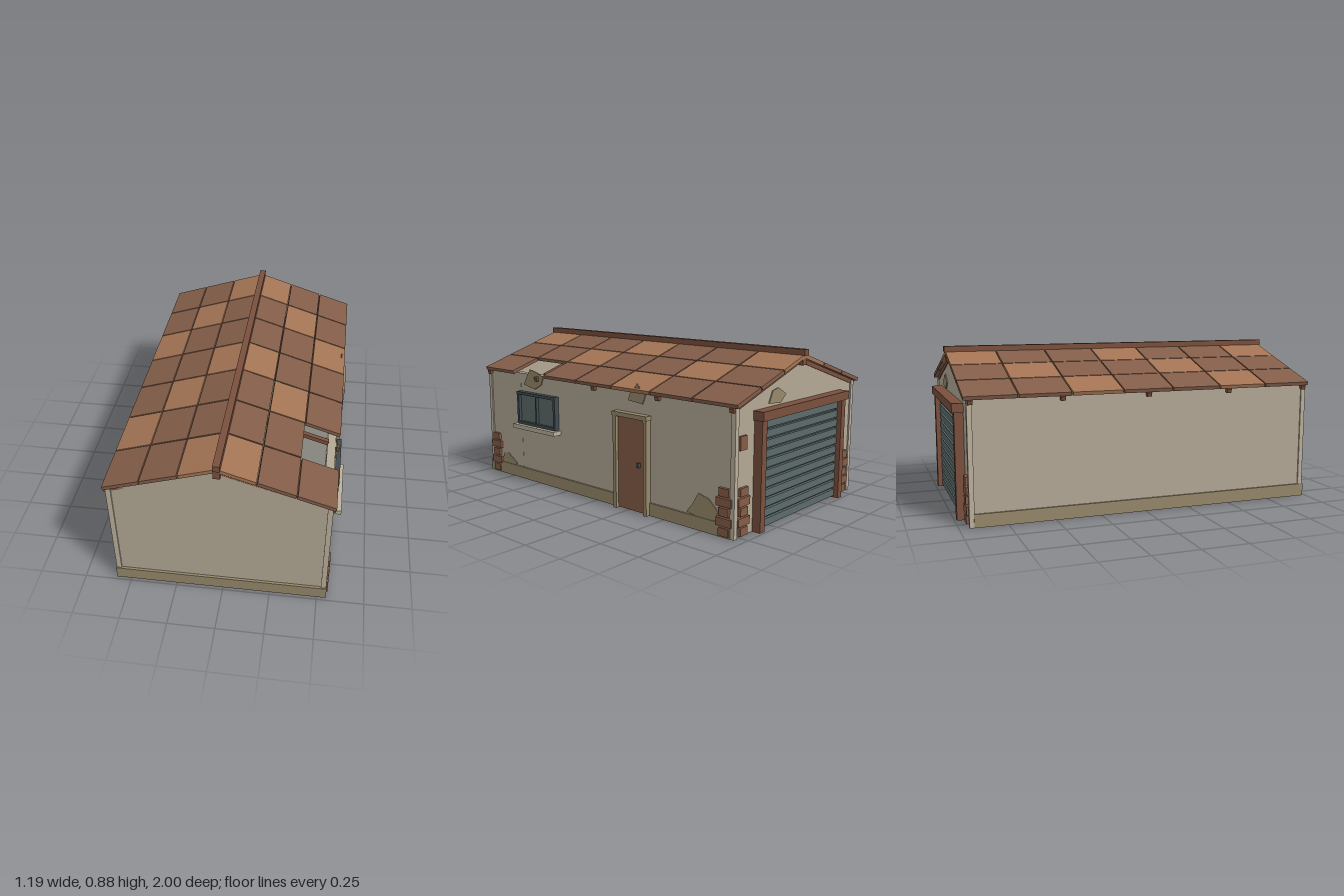
import * as THREE from 'three';

const mat = (name, color, extra = {}) => Object.assign(new THREE.MeshStandardMaterial({ color, ...extra }), { name });

export function createModel() {
  const M = {
    wall: mat('plaster', 0xb3a895),
    trim: mat('paleTrim', 0xbbb09c),
    band: mat('wornPlaster', 0x96886a),
    light: mat('lightTile', 0xa37454),
    dark: mat('darkTile', 0x825d49),
    wood: mat('wood', 0x7a503d),
    brick: mat('brick', 0x865c47),
    iron: mat('darkMetal', 0x3f4b50),
    steel: mat('glassAndSteel', 0x5c6a6a),
    floor: mat('concrete', 0x85857d),
  };
  const root = new THREE.Group();
  root.name = 'garage';
  const group = (name, parent = root) => {
    const g = new THREE.Group();
    g.name = name;
    parent.add(g);
    return g;
  };
  // Box given by its minimum and maximum on each axis
  const box = (name, m, x0, x1, y0, y1, z0, z1, parent = root) => {
    const mesh = new THREE.Mesh(new THREE.BoxGeometry(x1 - x0, y1 - y0, z1 - z0), m);
    mesh.position.set((x0 + x1) / 2, (y0 + y1) / 2, (z0 + z1) / 2);
    mesh.name = name;
    parent.add(mesh);
    return mesh;
  };
  // Flat outline extruded along z
  const plate = (name, m, pts, depth, parent = root) => {
    const shape = new THREE.Shape(pts.map(([x, y]) => new THREE.Vector2(x, y)));
    const mesh = new THREE.Mesh(new THREE.ExtrudeGeometry(shape, { depth, bevelEnabled: false }), m);
    mesh.name = name;
    parent.add(mesh);
    return mesh;
  };

  const CX = -0.015, L = -0.57, R = 0.54, F = 0.97, B = -0.94, T = 0.045, TOP = 0.655;

  // Floor and hollow wall shell
  box('floorSlab', M.floor, L, R, 0, 0.02, B, F);
  const walls = group('walls');
  box('leftWall', M.wall, L, L + T, 0.005, TOP, B, F, walls);
  box('frontWall', M.wall, L + T, R - T, 0.005, TOP, F - T, F, walls);
  // Right wall, split around the window opening
  box('rightWallFront', M.wall, R - T, R, 0.005, TOP, 0.665, F, walls);
  box('rightWallBack', M.wall, R - T, R, 0.005, TOP, B, 0.33, walls);
  box('wallBelowWindow', M.wall, R - T, R - 0.001, 0.005, 0.35, 0.33, 0.665, walls);
  box('wallAboveWindow', M.wall, R - T, R - 0.001, 0.54, TOP, 0.33, 0.665, walls);
  // Back wall around the garage opening
  box('backWallLeft', M.wall, 0.36, R - T, 0.005, TOP, B, B + T, walls);
  box('backWallRight', M.wall, L + T, -0.39, 0.005, TOP, B, B + T, walls);
  box('backWallTop', M.wall, -0.39, 0.36, 0.57, TOP, B, B + T, walls);
  for (const z of [F - T, B]) {
    plate('gable', M.wall, [[L, TOP], [R, TOP], [CX, 0.828]], T, walls).position.z = z;
  }

  // Corner posts
  for (const [x, sx] of [[L, -1], [R, 1]]) {
    for (const [z, sz] of [[F, 1], [B, -1]]) {
      const xo = x + sx * 0.007, xi = x - sx * 0.02, zo = z + sz * 0.008, zi = z - sz * 0.018;
      box('cornerPost', M.trim, Math.min(xo, xi), Math.max(xo, xi), 0, 0.65, Math.min(zo, zi), Math.max(zo, zi));
    }
  }

  // Base band
  box('frontBand', M.band, L - 0.01, R + 0.01, 0, 0.07, F, F + 0.014);
  box('leftBand', M.band, L - 0.01, L, 0, 0.07, -0.925, F);
  box('rightBandFront', M.band, R, R + 0.01, 0, 0.07, -0.155, F);
  box('rightBandBack', M.band, R, R + 0.01, 0, 0.07, -0.925, -0.4);

  // Roof: three tile columns on each slope, seven rows
  const slope = Math.atan(0.32), len = 0.58 / Math.cos(slope), col = len / 3;
  for (const s of [-1, 1]) {
    const side = group(s > 0 ? 'leftRoof' : 'rightRoof');
    side.position.set(CX, 0.85, 0);
    side.rotation.z = -s * slope;
    const slab = (name, m, a, b, y0, y1, z0, z1) =>
      box(name, m, Math.min(s * a, s * b), Math.max(s * a, s * b), y0, y1, z0, z1, side);
    for (let r = 0; r < 7; r++) {
      for (let c = 0; c < 3; c++) {
        if (s > 0 && r === 5 && c === 2) continue; // missing tile
        const z = -0.97 + r * 0.28;
        slab('roofTile', r % 3 === c ? M.light : M.dark,
          c * col + 0.003, (c + 1) * col - 0.003, -0.02, 0, z + 0.003, z + 0.276);
      }
    }
    for (let i = 0; i < 5; i++) {
      const z = 0.957 - i * 0.472;
      const broken = s > 0 && i === 1;
      slab('rafter', M.wood, 0.01, broken ? 0.55 : len + 0.004, -0.043, -0.0205, z - 0.013, z + 0.013);
      if (broken) slab('rafterStub', M.wood, 0.585, len + 0.004, -0.046, -0.0205, z + 0.005, z + 0.031);
    }
  }
  box('ridgeCap', M.wood, CX - 0.018, CX + 0.018, 0.842, 0.875, -0.975, 0.995);
  box('ridgeBeam', M.wood, CX - 0.018, CX + 0.018, 0.793, 0.842, -0.965, 0.99);

  // Window: frame, two panes and sill
  const win = group('window');
  box('windowPanes', M.steel, R - 0.03, R + 0.012, 0.36, 0.535, 0.33, 0.66, win);
  for (const y of [0.35, 0.53]) box('windowRail', M.iron, R - 0.02, R + 0.032, y, y + 0.017, 0.323, 0.67, win);
  for (const z of [0.323, 0.49, 0.653]) {
    const w = z === 0.49 ? 0.01 : 0.017;
    box('windowStile', M.iron, R - 0.02, R + 0.03, 0.36, 0.535, z, z + w, win);
  }
  box('windowSill', M.trim, R - 0.02, 0.597, 0.325, 0.35, 0.308, 0.683, win);

  // Side door
  const door = group('sideDoor');
  box('doorLeaf', M.brick, R - 0.01, R + 0.016, 0.005, 0.515, -0.382, -0.175, door);
  for (const z of [-0.4, -0.178]) box('doorJamb', M.band, R - 0.01, R + 0.034, 0, 0.515, z, z + 0.022, door);
  box('doorLintel', M.band, R - 0.01, R + 0.038, 0.512, 0.536, -0.406, -0.153, door);
  box('doorHandle', M.iron, R + 0.016, R + 0.032, 0.252, 0.277, -0.342, -0.329, door);

  // Garage door with horizontal slats
  const gate = group('garageDoor');
  box('doorBacking', M.iron, -0.39, 0.36, 0.005, 0.57, B - 0.006, B + 0.03, gate);
  for (let i = 0; i < 11; i++) {
    box('slat', M.steel, -0.385, 0.355, 0.012 + i * 0.0505, 0.05 + i * 0.0505, B - 0.022, B, gate);
  }
  box('rightFramePost', M.wood, -0.42, -0.38, 0, 0.57, -0.988, B + 0.02, gate);
  box('leftFramePost', M.wood, 0.345, 0.385, 0, 0.57, -0.988, B + 0.02, gate);
  box('frameLintel', M.wood, -0.43, 0.395, 0.565, 0.612, -1, B + 0.02, gate);
  box('wallPlaque', M.brick, 0.457, 0.51, 0.435, 0.505, B - 0.012, B);

  // Exposed bricks near the corners
  const bricks = group('exposedBricks');
  for (let i = 0; i < 5; i++) {
    const y = 0.008 + i * 0.05, w = i % 2 ? 0.046 : 0.03;
    for (const z of [0.918, -0.888]) box('brick', M.brick, R, R + 0.016, y, y + 0.042, z - w, z + w, bricks);
    for (const x of [0.475, -0.492]) box('brick', M.brick, x - w, x + w, y, y + 0.042, B - 0.016, B, bricks);
  }

  // Worn plaster patches on the right wall, as (z, y) outlines
  const patches = [
    [[0.63, 0.59], [0.6, 0.64], [0.57, 0.685], [0.5, 0.67], [0.45, 0.65], [0.47, 0.6], [0.53, 0.57]],
    [[-0.245, 0.6], [-0.265, 0.65], [-0.29, 0.665], [-0.31, 0.695], [-0.335, 0.665], [-0.37, 0.64], [-0.35, 0.59]],
    [[0.88, 0.07], [0.85, 0.13], [0.81, 0.135], [0.73, 0.085], [0.735, 0.07]],
    [[-0.65, 0.08], [-0.69, 0.13], [-0.725, 0.19], [-0.79, 0.175], [-0.85, 0.12], [-0.83, 0.07], [-0.72, 0.07]],
  ];
  for (const p of patches) {
    const m = plate('wornPatch', M.band, p.map(([z, y]) => [-z, y]), 0.006);
    m.rotation.y = Math.PI / 2;
    m.position.x = R;
  }
  // Patch on the back gable
  const back = plate('gablePatch', M.band,
    [[-0.27, 0.63], [-0.17, 0.62], [-0.12, 0.66], [-0.19, 0.7], [-0.24, 0.69]], 0.006);
  back.rotation.y = Math.PI;
  back.position.z = B;

  return root;
}
